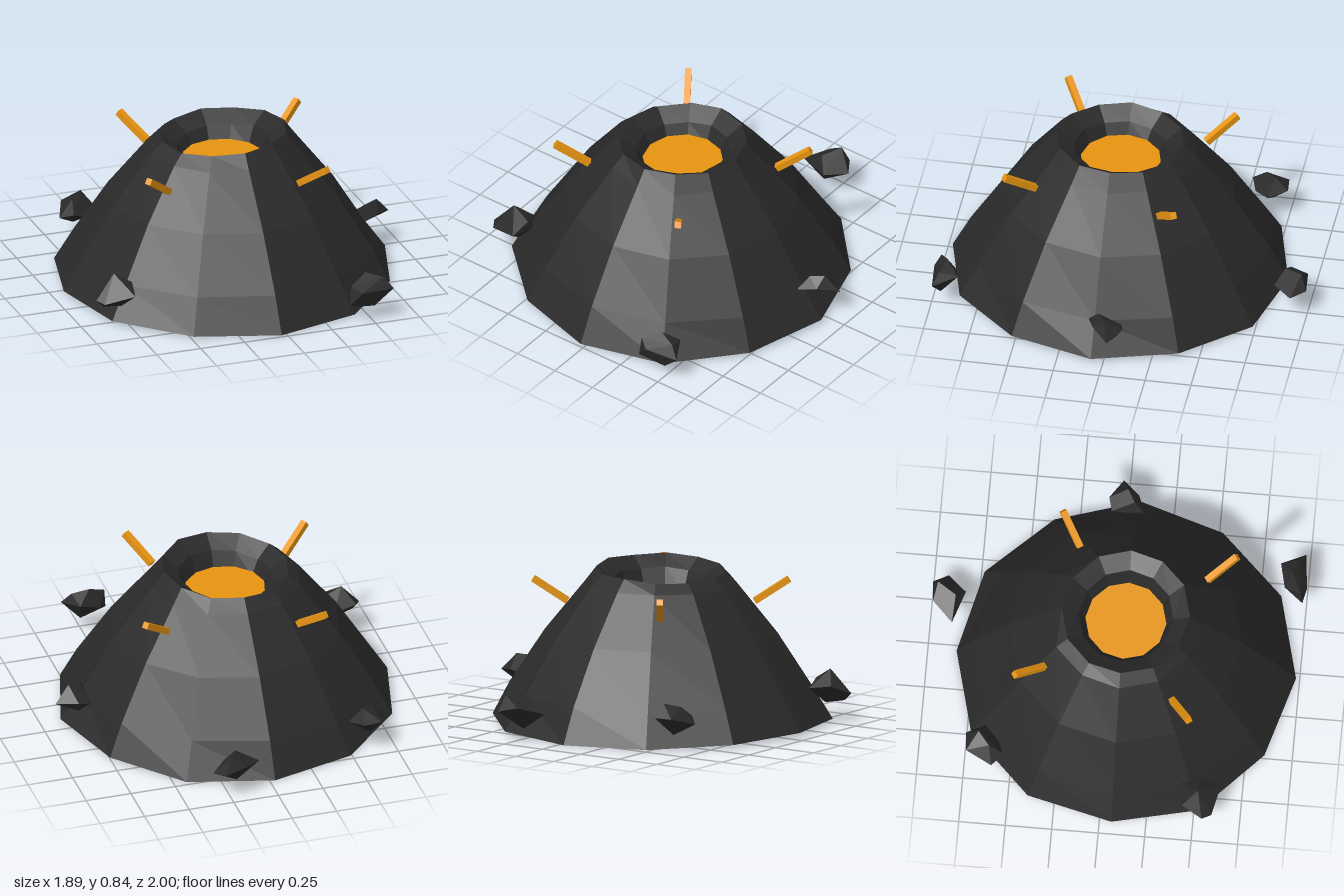
import * as THREE from 'three';
import { ConvexGeometry } from 'three/addons/geometries/ConvexGeometry.js';

const CENTRE_X = -0.03, CENTRE_Z = 0.065, SIDES = 12;

function mesh(name, geometry, material) {
  const m = new THREE.Mesh(geometry, material);
  m.name = name;
  return m;
}

// Separate the faces so each one gets its own flat normal
function faceted(geometry) {
  const g = geometry.toNonIndexed();
  g.computeVertexNormals();
  return g;
}

// Twelve-sided cone with a sunken crater; base and rim are made slightly uneven
function coneGeometry() {
  const profile = [
    [0, 0.02], [0.915, 0.02], [0.81, 0.2], [0.625, 0.49], [0.41, 0.76],
    [0.345, 0.83], [0.255, 0.77], [0.21, 0.67], [0, 0.67],
  ].map(([r, y]) => new THREE.Vector2(r, y));
  const g = new THREE.LatheGeometry(profile, SIDES);
  const p = g.attributes.position;
  for (let i = 0; i < p.count; i++) {
    const row = i % profile.length;
    const side = Math.floor(i / profile.length) % SIDES;
    const a = side / SIDES * Math.PI * 2;
    let y = p.getY(i), s = 1;
    if (row === 1) {
      y -= 0.012 * Math.cos(2 * a);
      s = 1 + 0.01 * Math.sin(side * 2.7);
    } else if (row > 1 && row < 5) {
      s = 1 + 0.008 * Math.sin(side * 3.1 + row);
    } else if (row === 5 || row === 6) {
      y += 0.02 * Math.sin(a + 0.5) + 0.006 * Math.sin(side * 2.3);
    }
    p.setXYZ(i, p.getX(i) * s, y, p.getZ(i) * s);
  }
  return faceted(g);
}

// Corner points of each loose rock
const ROCKS = {
  rockBackLeft: [
    [0.07, 0.17, -0.88], [0.17, 0.21, -0.99], [0.29, 0.18, -1], [0.34, 0.16, -0.92],
    [0.25, 0.17, -0.82], [0.2, 0.25, -0.87], [0.26, 0.27, -0.97], [0.2, 0.08, -0.89],
  ],
  rockBackRight: [
    [-0.72, 0.16, -0.6], [-0.66, 0.2, -0.74], [-0.56, 0.2, -0.75], [-0.5, 0.18, -0.65],
    [-0.58, 0.16, -0.57], [-0.66, 0.19, -0.54], [-0.57, 0.27, -0.68], [-0.64, 0.25, -0.62],
    [-0.62, 0.1, -0.66],
  ],
  rockLeft: [
    [0.95, 0.19, -0.03], [0.84, 0.21, -0.1], [0.77, 0.19, -0.08], [0.76, 0.2, 0.1],
    [0.86, 0.22, 0.06], [0.8, 0.27, 0.04], [0.87, 0.28, 0], [0.83, 0.14, -0.05],
  ],
  rockFrontRight: [
    [-0.93, 0.17, 0.55], [-0.88, 0.22, 0.44], [-0.75, 0.2, 0.42], [-0.71, 0.18, 0.49],
    [-0.74, 0.2, 0.64], [-0.9, 0.16, 0.6], [-0.82, 0.3, 0.52], [-0.72, 0.24, 0.53],
    [-0.78, 0.11, 0.53], [-0.89, 0.13, 0.55],
  ],
  rockFrontLeft: [
    [0.36, 0.12, 0.98], [0.37, 0.23, 0.97], [0.61, 0.19, 0.98], [0.54, 0.22, 0.85],
    [0.42, 0.18, 0.88], [0.47, 0.28, 0.92], [0.56, 0.25, 0.95], [0.51, 0.09, 0.95],
    [0.42, 0.19, 1],
  ],
};

export function createModel() {
  const rock = new THREE.MeshStandardMaterial({ color: 0x2a2a2a });
  rock.name = 'dark rock';
  const lava = new THREE.MeshStandardMaterial({ color: 0xffa414 });
  lava.name = 'glowing orange';

  const model = new THREE.Group();
  model.name = 'volcano';

  const mountain = new THREE.Group();
  mountain.name = 'mountain';
  mountain.position.set(CENTRE_X, 0, CENTRE_Z);
  model.add(mountain);
  mountain.add(mesh('cone', coneGeometry(), rock));

  // Lava surface inside the crater
  const pool = mesh('lavaPool', faceted(new THREE.CylinderGeometry(0.218, 0.2, 0.03, SIDES)), lava);
  pool.position.y = 0.68;
  mountain.add(pool);

  // Four slanted spikes spaced evenly around the upper slope
  const spikeGeometry = new THREE.BoxGeometry(0.22, 0.035, 0.035);
  for (let i = 0; i < 4; i++) {
    const arm = new THREE.Group();
    arm.name = 'spikeArm' + (i + 1);
    arm.rotation.y = 0.6 + i * Math.PI / 2;
    const spike = mesh('spike', spikeGeometry, lava);
    spike.position.set(0.594, 0.715, 0);
    spike.rotation.z = 0.58;
    arm.add(spike);
    mountain.add(arm);
  }

  // Loose rocks around the lower slope
  for (const [name, points] of Object.entries(ROCKS)) {
    const corners = points.map((c) => new THREE.Vector3(...c));
    model.add(mesh(name, new ConvexGeometry(corners), rock));
  }
  return model;
}
